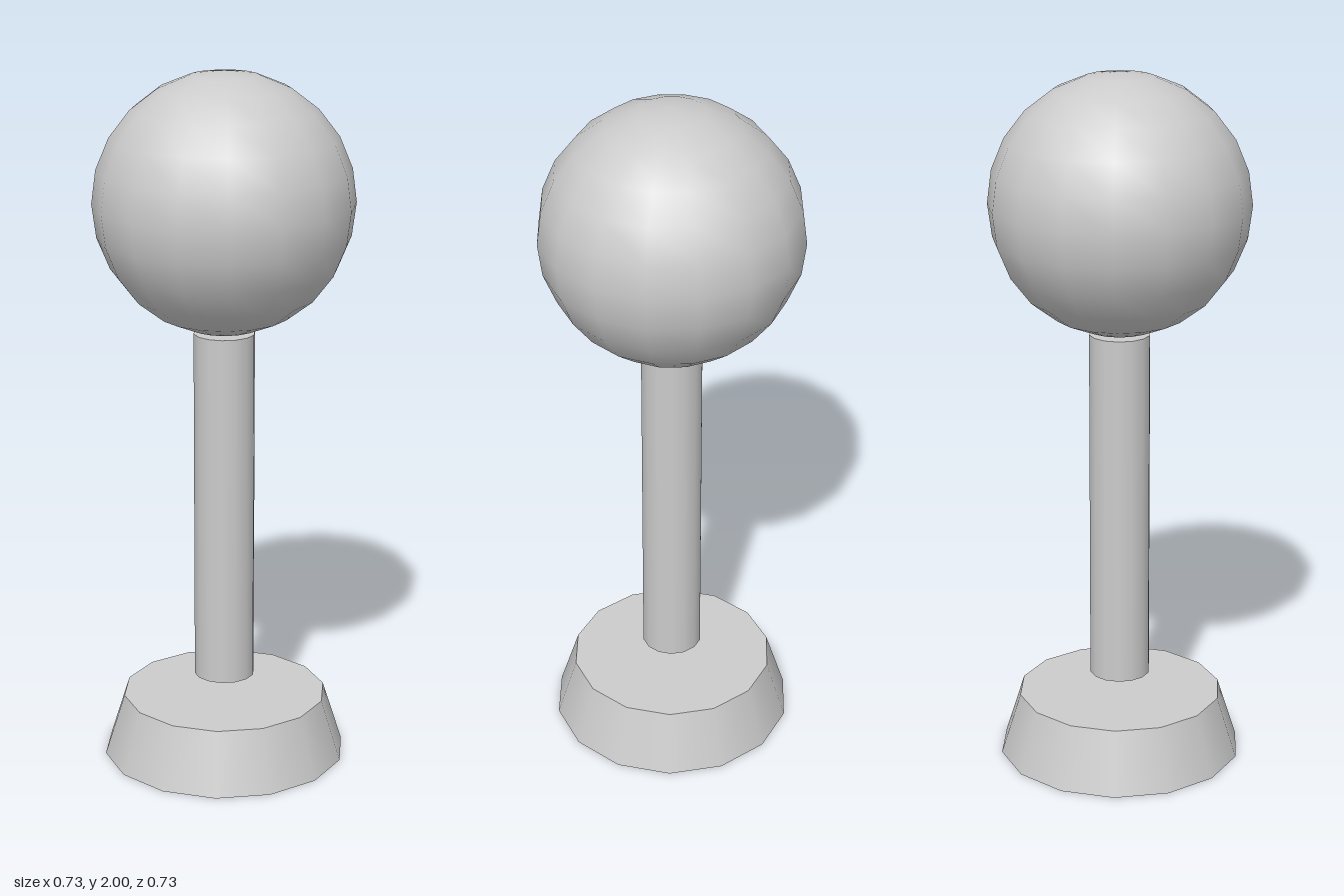
import * as THREE from 'three';

export function createModel() {
  const model = new THREE.Group();
  const material = new THREE.MeshStandardMaterial({ color: 0xcccccc });

  const add = (name, geometry, y) => {
    const mesh = new THREE.Mesh(geometry, material);
    mesh.name = name;
    mesh.position.y = y;
    model.add(mesh);
  };

  // Tapered foot, floating post and round head, stacked along y
  add('base', new THREE.CylinderGeometry(0.295, 0.352, 0.18, 14), 0.09);
  add('post', new THREE.CylinderGeometry(0.087, 0.087, 1.028, 14), 0.751);
  add('head', new THREE.SphereGeometry(0.366, 16, 12), 1.634);

  return model;
}
